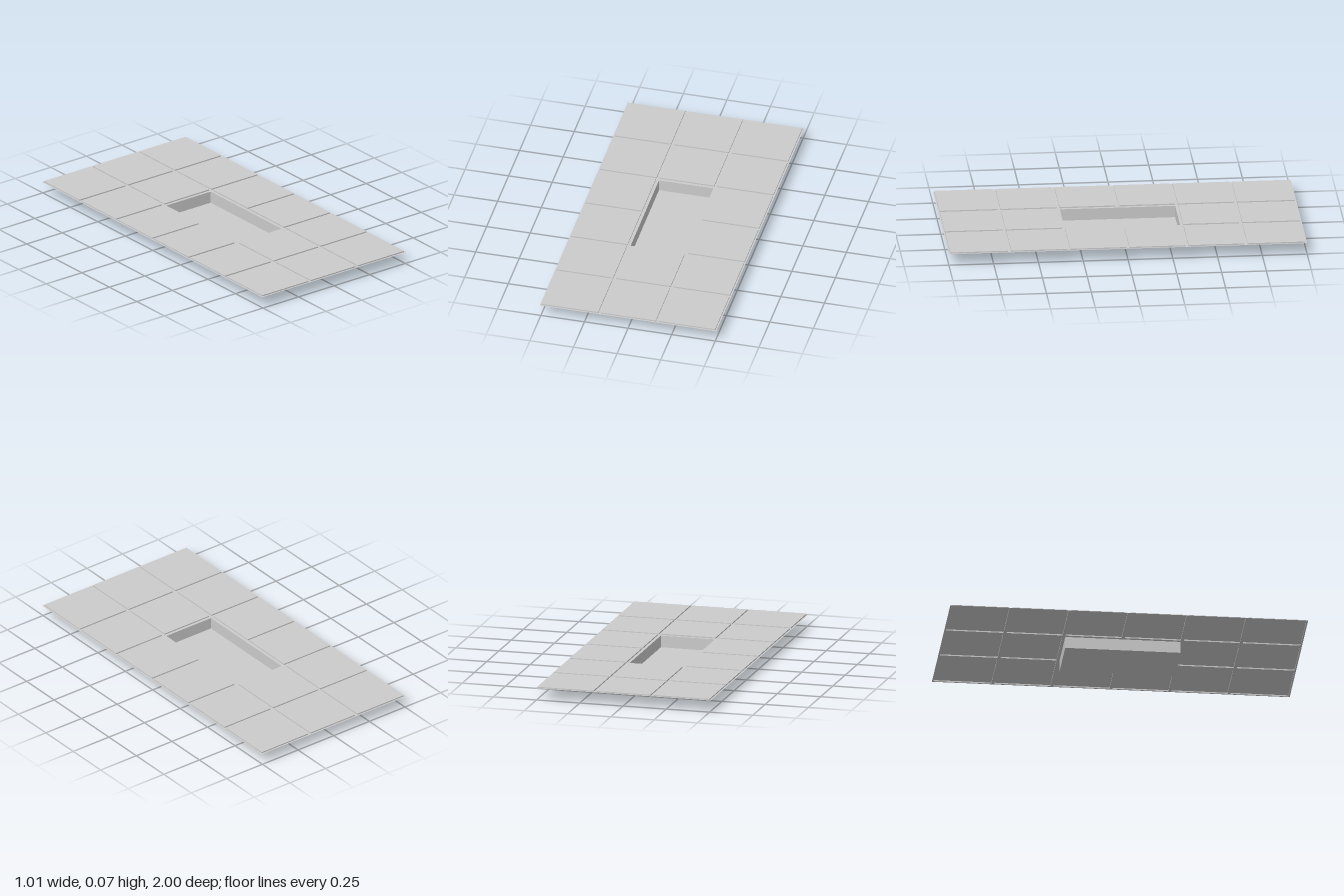
import * as THREE from 'three';

const SHEET_Y = 0.067, TILE_Y = 0.074;
const HALF_W = 0.506, HALF_L = 1;
const GAP = 0.0085; // half of the joint between neighbouring tiles
const xCuts = [-HALF_W, -0.165, 0.165, HALF_W];
const zCuts = [-HALF_L, -0.66, -0.33, 0, 0.33, 0.66, HALF_L];

const material = new THREE.MeshStandardMaterial({ color: 0xcccccc, side: THREE.DoubleSide });

// Thin-walled box with one face left out (2 = top, 3 = bottom)
function openBox(r, y0, y1, openFace) {
  const geo = new THREE.BoxGeometry(r.x1 - r.x0, y1 - y0, r.z1 - r.z0);
  const index = Array.from(geo.index.array);
  index.splice(openFace * 6, 6);
  geo.setIndex(index);
  geo.clearGroups();
  geo.translate((r.x0 + r.x1) / 2, (y0 + y1) / 2, (r.z0 + r.z1) / 2);
  return geo;
}

// Rectangle outline; z is stored negated because the sheet is laid flat afterwards
function outline(path, r) {
  path.moveTo(r.x0, -r.z1);
  path.lineTo(r.x1, -r.z1);
  path.lineTo(r.x1, -r.z0);
  path.lineTo(r.x0, -r.z0);
  path.closePath();
  return path;
}

export function createModel() {
  const model = new THREE.Group();
  model.name = 'tiledPoolFloor';
  const add = (name, geo) => {
    const mesh = new THREE.Mesh(geo, material);
    mesh.name = name;
    model.add(mesh);
  };

  const sheet = outline(new THREE.Shape(), { x0: -HALF_W, x1: HALF_W, z0: -HALF_L, z1: HALF_L });

  // Raised tiles, hollow underneath, around the two middle cells
  for (let i = 0; i < 3; i++) {
    for (let j = 0; j < 6; j++) {
      if (i === 1 && (j === 2 || j === 3)) continue;
      const r = {
        x0: xCuts[i] + GAP, x1: xCuts[i + 1] - GAP,
        z0: zCuts[j] + GAP, z1: zCuts[j + 1] - GAP,
      };
      sheet.holes.push(outline(new THREE.Path(), r));
      add('tile', openBox(r, SHEET_Y, TILE_Y, 3));
    }
  }

  // Sunken basin, open at the top
  const basin = { x0: -0.156, x1: 0.156, z0: -0.322, z1: 0.322 };
  sheet.holes.push(outline(new THREE.Path(), basin));
  add('basin', openBox(basin, 0, SHEET_Y, 2));

  // Joint grid between the tiles
  const joints = new THREE.ShapeGeometry(sheet);
  joints.rotateX(-Math.PI / 2);
  joints.translate(0, SHEET_Y, 0);
  add('joints', joints);

  return model;
}
